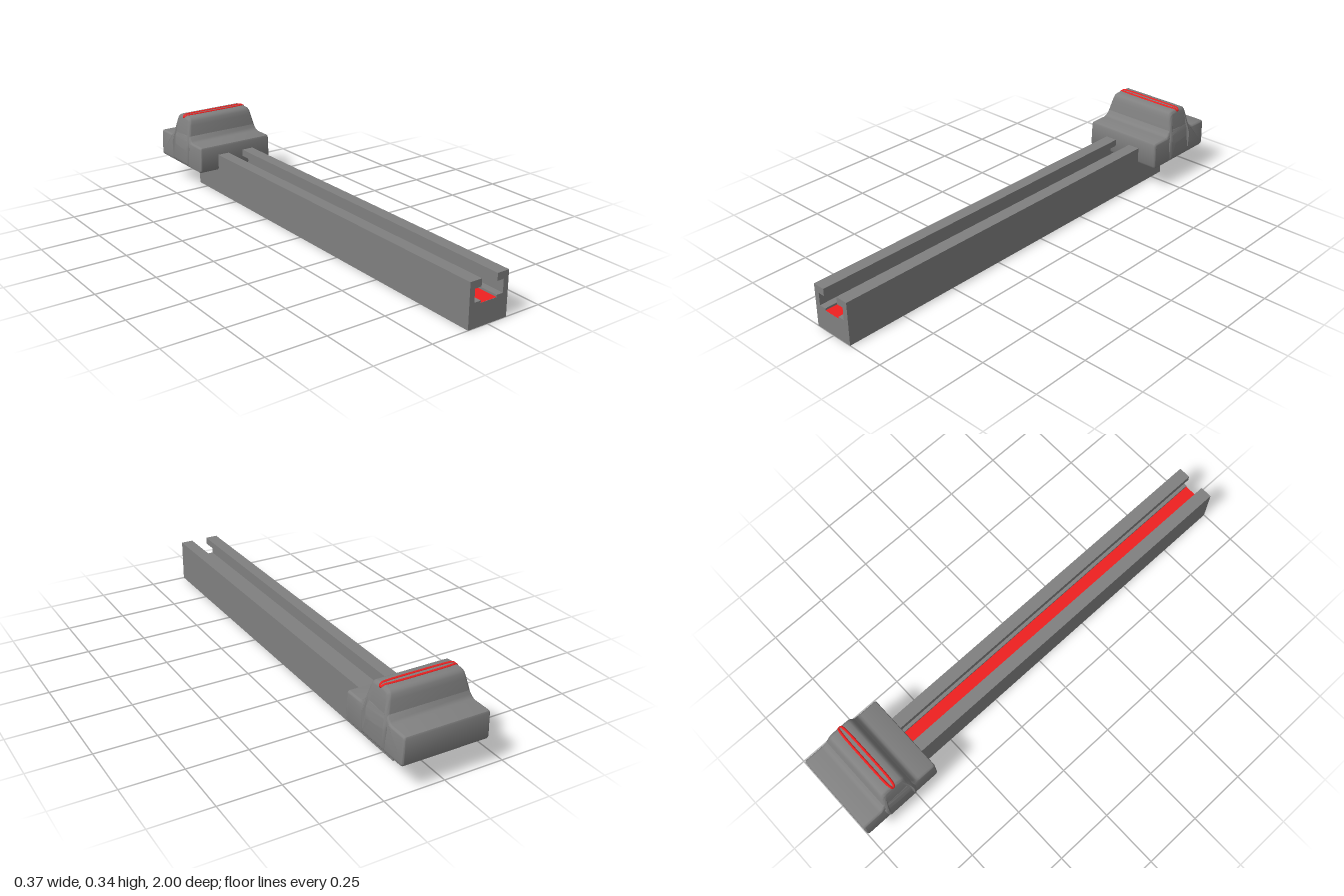
import * as THREE from 'three';
import { toCreasedNormals } from 'three/addons/utils/BufferGeometryUtils.js';

const darkGrey = new THREE.MeshStandardMaterial({ color: 0x808080 });
const red = new THREE.MeshStandardMaterial({ color: 0xee2020, side: THREE.DoubleSide });

const SLIDER_Z = -0.82;
const RAIL_BACK = -0.815;
const RAIL_LENGTH = 1.815;

function add(parent, name, geometry, material, x = 0, y = 0, z = 0) {
  const mesh = new THREE.Mesh(geometry, material);
  mesh.name = name;
  mesh.position.set(x, y, z);
  parent.add(mesh);
}

// Mirrors the right half of a profile into a closed shape
function mirroredShape(half) {
  const left = half.map(([x, y]) => [-x, y]).reverse();
  return new THREE.Shape([...half, ...left].map(([x, y]) => new THREE.Vector2(x, y)));
}

// Extrudes a side profile across the width with rounded ends, narrowing toward the top
function extrudeAcross(half, halfWidth, bevel) {
  const depth = 2 * (halfWidth - bevel);
  const g = new THREE.ExtrudeGeometry(mirroredShape(half), {
    depth, bevelEnabled: true, bevelSize: bevel, bevelOffset: -bevel, bevelThickness: bevel, bevelSegments: 4,
  });
  g.translate(0, 0, -depth / 2);
  g.rotateY(-Math.PI / 2);
  const p = g.attributes.position;
  for (let i = 0; i < p.count; i++) {
    const t = Math.max(0, (p.getY(i) - 0.205) / 0.13);
    p.setX(i, p.getX(i) * (1 - 0.16 * t));
  }
  return toCreasedNormals(g, 0.6);
}

// Closed loop lying on the crest, curving down over both ends
function accentGeometry() {
  const points = [];
  for (let i = 0; i < 48; i++) {
    const a = ((i + 0.5) / 48) * Math.PI * 2;
    const c = Math.cos(a), s = Math.sin(a);
    const x = 0.156 * Math.sign(c) * Math.pow(Math.abs(c), 0.5);
    const z = 0.012 * Math.sign(s) * Math.pow(Math.abs(s), 0.5);
    const over = Math.min(1, Math.max(0, Math.abs(x) - 0.141) / 0.016);
    const dip = 0.013 * (1 - Math.sqrt(1 - over * over));
    points.push(new THREE.Vector3(x, 0.3335 - dip, z));
  }
  return new THREE.TubeGeometry(new THREE.CatmullRomCurve3(points, true), 144, 0.0055, 8, true);
}

export function createModel() {
  const model = new THREE.Group();
  model.name = 'sliderControl';

  // Slotted rail with overhanging lips and a shallow floor groove
  const railHalf = [
    [0.09, 0], [0.09, 0.182], [0.037, 0.182], [0.037, 0.152],
    [0.067, 0.152], [0.067, 0.099], [0.037, 0.099], [0.037, 0.09],
  ];
  const rail = new THREE.ExtrudeGeometry(mirroredShape(railHalf), { depth: RAIL_LENGTH, bevelEnabled: false });
  add(model, 'rail', rail, darkGrey, 0, 0, RAIL_BACK);

  // Coloured strip along the groove floor
  const strip = new THREE.PlaneGeometry(0.074, RAIL_LENGTH).rotateX(-Math.PI / 2);
  add(model, 'grooveStrip', strip, red, 0, 0.0908, RAIL_BACK + RAIL_LENGTH / 2);

  // Sliding knob
  const slider = new THREE.Group();
  slider.name = 'slider';
  slider.position.z = SLIDER_Z;
  model.add(slider);

  // Base block with concave fillets rising into the hump
  const baseHalf = [
    [0.165, 0.109], [0.175, 0.112], [0.18, 0.121], [0.18, 0.218], [0.177, 0.225], [0.17, 0.228],
    [0.1, 0.228], [0.09, 0.23], [0.083, 0.235], [0.077, 0.243], [0.068, 0.255],
  ];
  add(slider, 'sliderBase', extrudeAcross(baseHalf, 0.182, 0.008), darkGrey);

  // Raised finger grip
  const humpHalf = [
    [0.07, 0.114], [0.074, 0.125], [0.078, 0.2], [0.076, 0.215], [0.072, 0.24], [0.066, 0.27],
    [0.06, 0.3], [0.055, 0.318], [0.049, 0.327], [0.04, 0.332], [0.025, 0.334], [0.012, 0.335],
  ];
  add(slider, 'gripHump', extrudeAcross(humpHalf, 0.187, 0.014), darkGrey);

  // Foot riding inside the channel
  add(slider, 'sliderFoot', new THREE.BoxGeometry(0.13, 0.05, 0.11), darkGrey, 0, 0.126, 0.062);
  add(slider, 'crestAccent', accentGeometry(), red);

  return model;
}
